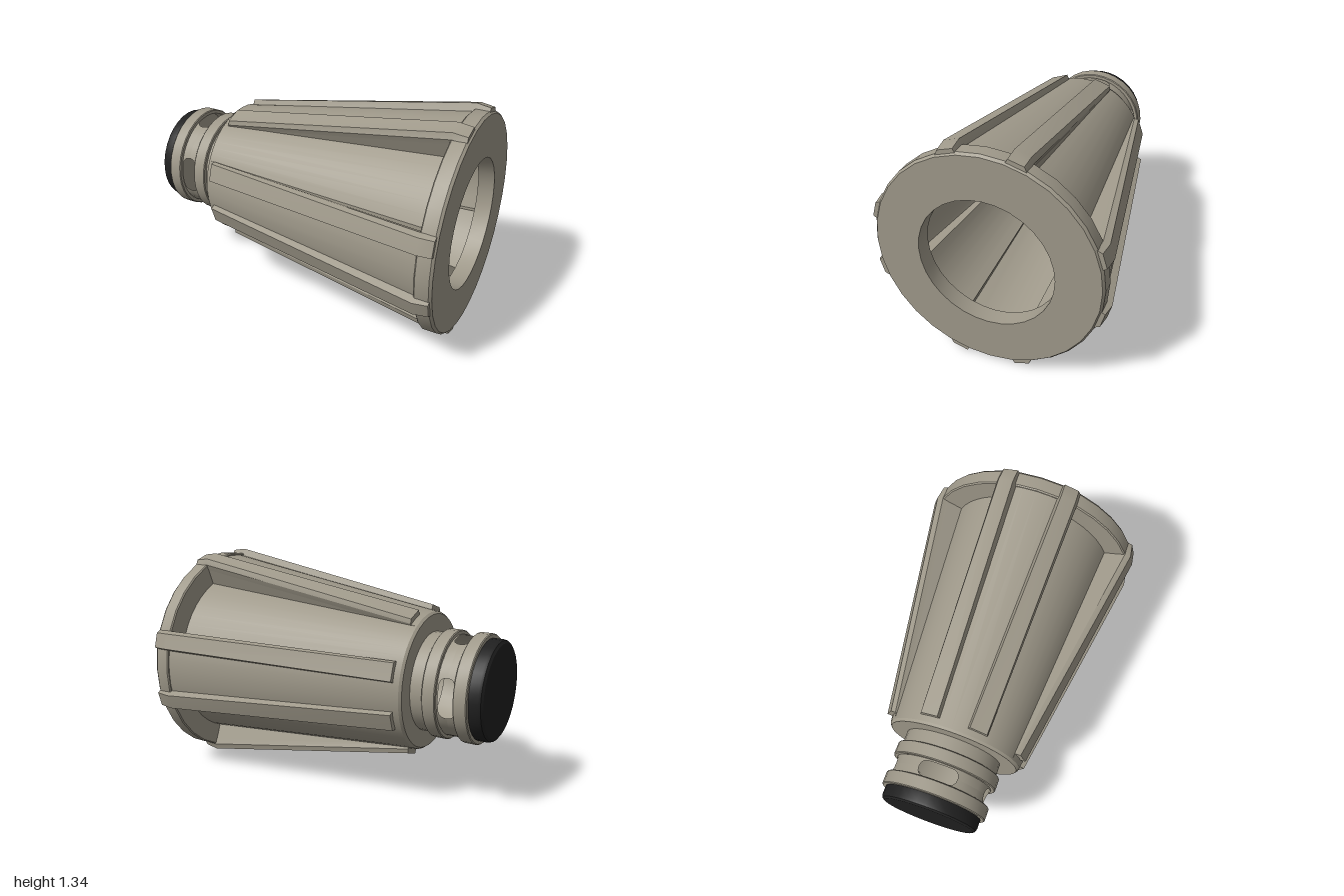
import * as THREE from 'three';
import { toCreasedNormals } from 'three/addons/utils/BufferGeometryUtils.js';

const CENTRE_Y = 0.68;
const DEG = Math.PI / 180;
const lerp = THREE.MathUtils.lerp;

// Surface through rows of [x, radius, angle] points around the x axis
function skin(rows) {
  const pos = [], index = [], n = rows[0].length;
  for (const row of rows) {
    for (const [x, r, a] of row) pos.push(x, r * Math.cos(a), r * Math.sin(a));
  }
  for (let i = 0; i < rows.length - 1; i++) {
    for (let j = 0; j < n - 1; j++) {
      const a = i * n + j, b = a + 1, c = a + n, d = c + 1;
      index.push(a, b, c, b, d, c);
    }
  }
  const g = new THREE.BufferGeometry();
  g.setAttribute('position', new THREE.Float32BufferAttribute(pos, 3));
  g.setIndex(index);
  return toCreasedNormals(g, 0.45);
}

// Turned part from [radius, x] points
function turned(points, segments = 32) {
  const g = new THREE.LatheGeometry(points.map(([r, x]) => new THREE.Vector2(r, x)), segments);
  g.rotateZ(-Math.PI / 2);
  return toCreasedNormals(g, 0.45);
}

// Tapers along the body
const along = x => THREE.MathUtils.clamp((x + 0.55) / 1.45, 0, 1);
const panelR = x => lerp(0.41, 0.642, along(x));
const floorR = x => lerp(0.41, 0.52, along(x));
const padEdge = x => lerp(28, 22, along(x)) * DEG;

// Four raised panels and four recessed panels as one section
function bodyRow(x, offset, fixedRadius) {
  const row = [], edge = padEdge(x), steps = 6;
  for (let q = 0; q < 4; q++) {
    const mid = q * Math.PI / 2;
    for (let k = 0; k <= steps; k++) {
      row.push([x, fixedRadius ?? panelR(x) + offset, mid + lerp(-edge, edge, k / steps)]);
    }
    for (let k = 0; k <= steps; k++) {
      row.push([x, fixedRadius ?? floorR(x) + offset, mid + lerp(edge, Math.PI / 2 - edge, k / steps)]);
    }
  }
  row.push(row[0].slice());
  return row;
}

// Chamfered rib along one edge of a raised panel
function ribGeometry(mid, side) {
  const row = (x, height) => {
    const low = panelR(x) - 0.01, high = low + height;
    const a0 = 11.3 * DEG, a1 = padEdge(x) + 0.003;
    const pts = [[x, low, a0], [x, high, a0 + 0.02], [x, high, a1 - 0.035], [x, lerp(low, high, 0.45), a1], [x, low - 0.01, a1]];
    if (side < 0) pts.reverse();
    return pts.map(([px, r, a]) => [px, r, mid + side * a]);
  };
  return skin([row(-0.525, 0), row(-0.525, 0.042), row(0.9, 0.055), row(0.985, 0.042), row(0.985, 0)]);
}

// Half of the neck band, with rounded window outlines
function windowBand(side) {
  const R = 0.295, half = [0, 0.04, 0.078, 0.092, 0.105, 0.114, 0.118, 0.1181, 0.155, 0.195];
  const opening = t => {
    if (t > 0.118) return 0;
    if (t <= 0.078) return 0.045;
    return 0.005 + Math.sqrt(Math.max(0, 0.04 ** 2 - (t - 0.078) ** 2));
  };
  const outer = [], inner = [];
  const offsets = [...half.slice(1).reverse().map(t => -t), ...half];
  for (let q = 0; q <= 4; q++) {
    for (const t of q < 4 ? offsets : offsets.slice(0, 1)) {
      const a = q * Math.PI / 2 + t / R;
      outer.push([-0.79 + side * 0.055, R, a]);
      inner.push([-0.79 + side * opening(Math.abs(t)), R, a]);
    }
  }
  return skin(side < 0 ? [outer, inner] : [inner, outer]);
}

export function createModel() {
  const model = new THREE.Group();
  model.name = 'taperedNozzle';
  const casing = new THREE.MeshStandardMaterial({ color: 0xa09a8b, side: THREE.DoubleSide });
  casing.name = 'warmGrey';
  const dark = new THREE.MeshStandardMaterial({ color: 0x202020 });
  dark.name = 'nearBlack';

  const add = (name, geometry, material = casing) => {
    const mesh = new THREE.Mesh(geometry, material);
    mesh.name = name;
    mesh.position.y = CENTRE_Y;
    model.add(mesh);
  };

  // Hollow tapered body, outside then inside
  add('body', skin([
    bodyRow(-0.575, 0, 0.295), bodyRow(-0.575, -0.012), bodyRow(-0.56, 0), bodyRow(0.9, 0),
    bodyRow(0.9, -0.025), bodyRow(-0.53, -0.025), bodyRow(-0.53, 0, 0.295),
  ]));

  // Wide end ring
  add('rim', turned([
    [0.39, 0.895], [0.648, 0.895], [0.655, 0.902], [0.655, 0.98],
    [0.643, 0.995], [0.39, 0.995], [0.39, 0.895],
  ]));

  // Paired ribs on each raised panel
  for (let q = 0; q < 4; q++) {
    for (const side of [-1, 1]) add('rib', ribGeometry(q * Math.PI / 2, side));
  }

  // Neck tube with four windows
  add('neckBase', turned([[0.295, -0.735], [0.295, -0.53]]));
  add('neckEnd', turned([[0.295, -0.92], [0.295, -0.845]]));
  for (const side of [-1, 1]) add('windowBand', windowBand(side));

  // Collars on the neck
  for (const x of [-0.92, -0.735]) {
    add('collar', turned([
      [0.295, x], [0.315, x], [0.32, x + 0.005], [0.32, x + 0.075],
      [0.315, x + 0.08], [0.295, x + 0.08],
    ]));
  }

  // Closed inner end of the neck and the dark cap behind it
  add('innerWall', turned([[0.295, -0.915], [0, -0.915]]));
  add('endCap', turned([
    [0, -1], [0.275, -1], [0.29, -0.99], [0.295, -0.975], [0.295, -0.92], [0, -0.92],
  ]), dark);

  return model;
}
